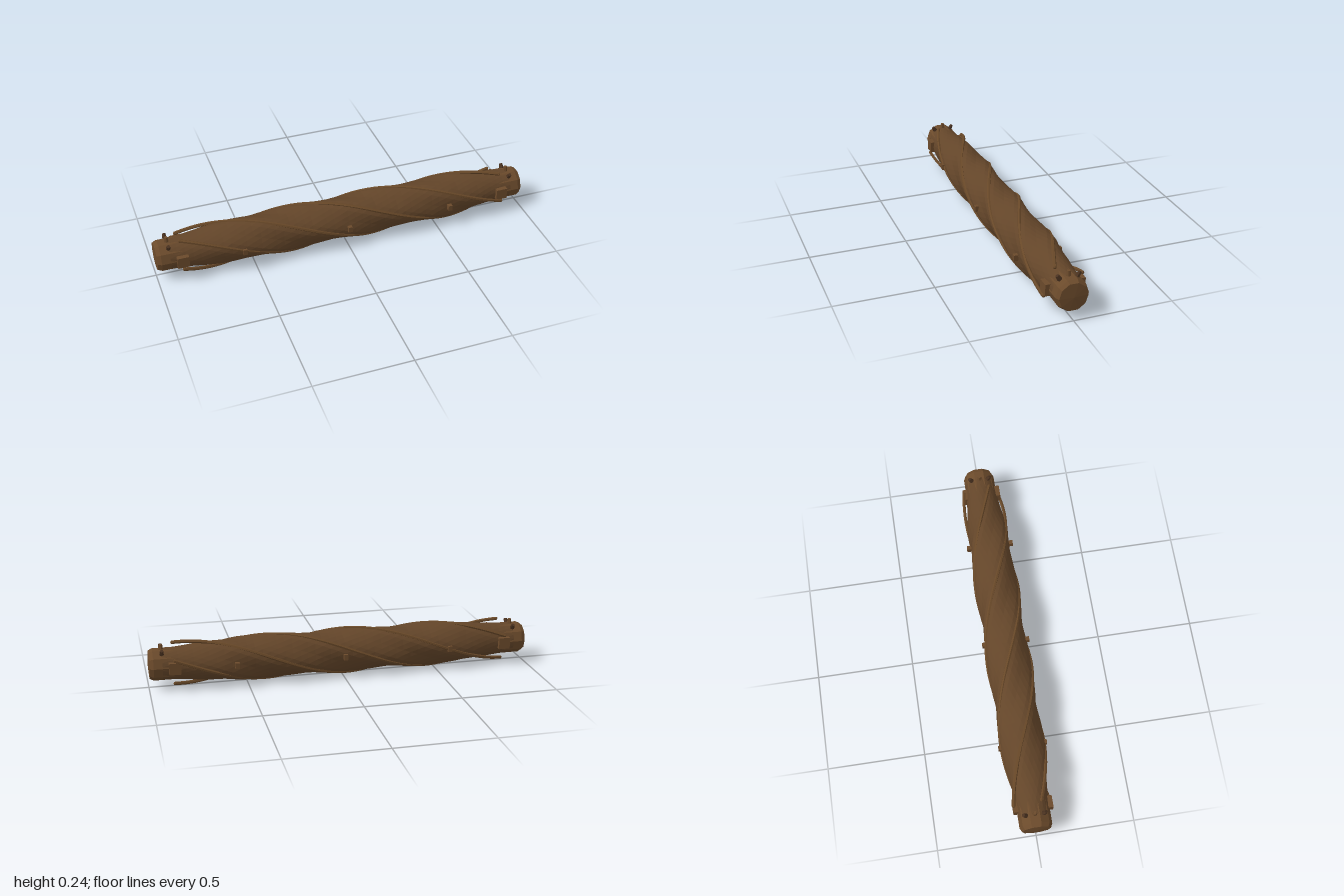
import * as THREE from 'three';

const CY = 0.125;           // height of the log's axis
const VINE_END = 0.87;      // half length of the wrapped vines
const START = 0.42;         // angle of the first vine, from up towards the front

const mat = (name, color) => {
  const m = new THREE.MeshStandardMaterial({ color, flatShading: true });
  m.name = name;
  return m;
};

// One full turn of twist between the two vine ends
const twist = (x) => START + ((x + VINE_END) / (2 * VINE_END)) * Math.PI * 2;
const around = (x, r, a) => new THREE.Vector3(x, CY + r * Math.cos(a), r * Math.sin(a));

// Fluted bark: four soft ridges that follow the twist, tapering at both ends
function barkGeometry() {
  const rings = 48, sides = 24, half = 0.93, pos = [], idx = [];
  for (let i = 0; i <= rings; i++) {
    const x = -half + (2 * half * i) / rings;
    const swell = THREE.MathUtils.smoothstep(half - Math.abs(x), 0, 0.38);
    for (let j = 0; j < sides; j++) {
      const t = (j / sides) * Math.PI * 2;
      const knots = 0.0015 * Math.sin(j * 5.3 + Math.floor(i / 4) * 2.1);
      const r = 0.08 + swell * (0.029 + 0.006 * Math.cos(4 * t) + knots);
      pos.push(...around(x, r, twist(x) + t).toArray());
    }
  }
  for (let i = 0; i < rings; i++) {
    for (let j = 0; j < sides; j++) {
      const k = (j + 1) % sides;
      const a = i * sides + j, c = i * sides + k;
      const b = a + sides, d = c + sides;
      idx.push(a, c, b, c, d, b);
    }
  }
  const g = new THREE.BufferGeometry();
  g.setAttribute('position', new THREE.Float32BufferAttribute(pos, 3));
  g.setIndex(idx);
  g.computeVertexNormals();
  return g;
}

// Vine wrapped once around the log, standing free of the bark at its ends
function vineGeometry(offset) {
  const pts = [];
  for (let i = 0; i <= 32; i++) {
    const x = -VINE_END + (2 * VINE_END * i) / 32;
    const r = 0.105 + 0.008 * Math.sin((Math.PI * i) / 32);
    pts.push(around(x, r, twist(x) + offset));
  }
  return new THREE.TubeGeometry(new THREE.CatmullRomCurve3(pts), 64, 0.009, 6);
}

export function createModel() {
  const model = new THREE.Group();
  model.name = 'twistedLog';
  const wood = mat('warm wood', 0x6b4a2b);
  const bark = mat('brown bark', 0x634529);
  const vine = mat('vine brown', 0x684828);
  const dark = mat('dark peg', 0x4a3220);

  const add = (name, geometry, material, parent = model) => {
    const mesh = new THREE.Mesh(geometry, material);
    mesh.name = name;
    parent.add(mesh);
    return mesh;
  };

  // Ten-sided core with bevelled, slightly pointed ends
  const profile = [
    [0, -1], [0.072, -0.995], [0.082, -0.975], [0.082, 0.975], [0.072, 0.995], [0, 1],
  ].map(([r, y]) => new THREE.Vector2(r, y));
  const core = add('core', new THREE.LatheGeometry(profile, 10), wood);
  core.rotation.z = -Math.PI / 2;
  core.position.y = CY;

  add('bark', barkGeometry(), bark);

  // Four vines a quarter turn apart
  for (let i = 0; i < 4; i++) {
    const group = new THREE.Group();
    group.name = 'vine';
    model.add(group);
    const geo = vineGeometry((i * Math.PI) / 2);
    add('vineStem', geo, vine, group);
    // Closed tips
    for (const s of [-1, 1]) {
      const x = s * VINE_END;
      const tip = add('vineTip', new THREE.SphereGeometry(0.009, 6, 4), vine, group);
      tip.position.copy(around(x, 0.105, twist(x) + (i * Math.PI) / 2));
    }
  }

  // Side blocks near the ends and small knots along both sides
  for (const side of [-1, 1]) {
    for (const x of [-0.87, 0.87]) {
      add('sideBlock', new THREE.BoxGeometry(0.06, 0.06, 0.04), wood)
        .position.set(x, CY, side * 0.08);
    }
    for (const x of [-0.56, 0, 0.56]) {
      add('sideKnot', new THREE.BoxGeometry(0.022, 0.03, 0.03), wood)
        .position.set(x, CY, side * 0.109);
    }
  }

  // Three tapered pegs on top of each end
  for (const x of [-0.93, 0.93]) {
    for (const a of [-0.58, 0, 0.58]) {
      const peg = add('peg', new THREE.CylinderGeometry(0.009, 0.013, 0.03, 6), a ? dark : wood);
      peg.position.copy(around(x, 0.089, a));
      peg.rotation.x = a;
    }
  }
  return model;
}
